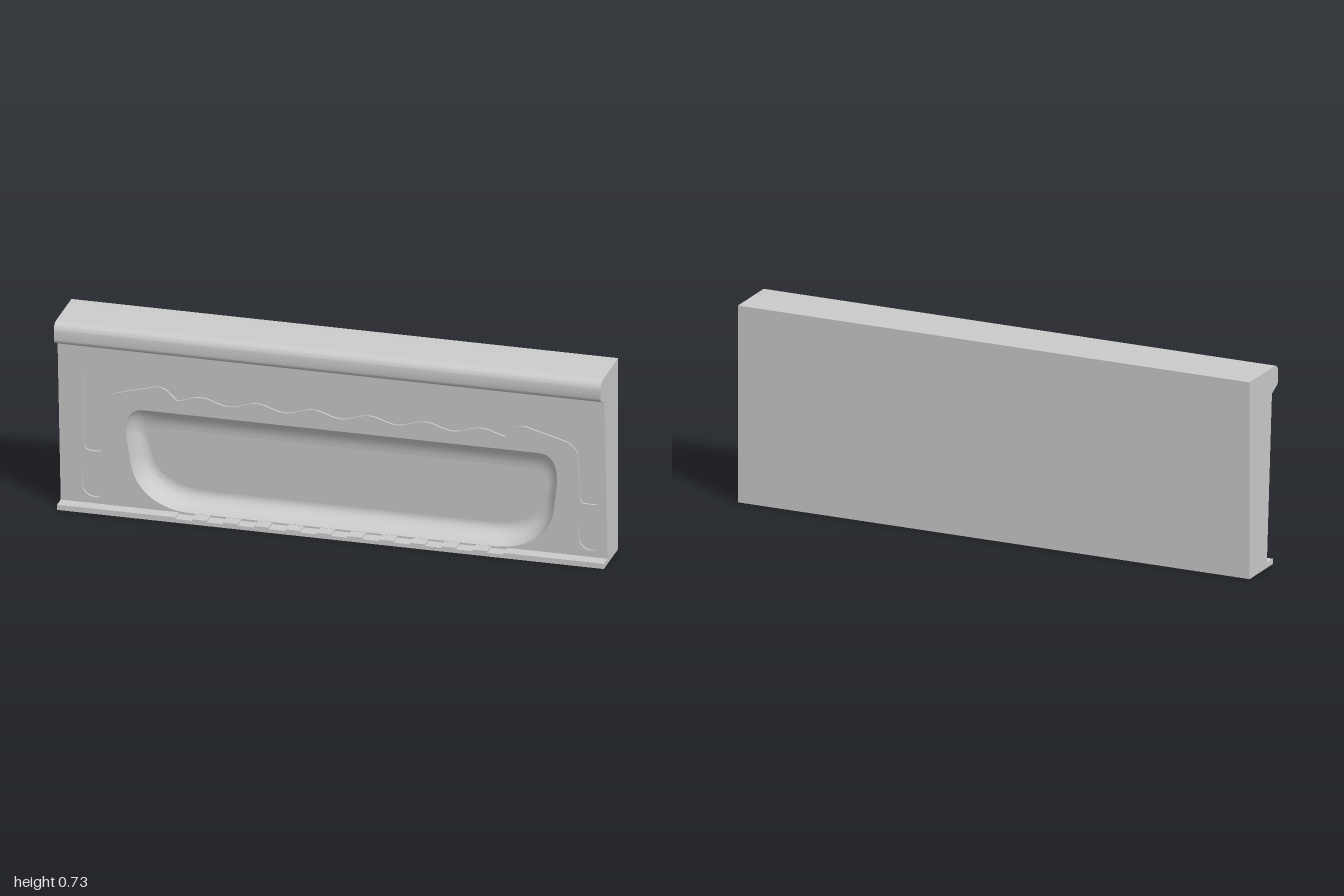
import * as THREE from 'three';
import { toCreasedNormals } from 'three/addons/utils/BufferGeometryUtils.js';

const V2 = (x, y) => new THREE.Vector2(x, y);
const V3 = (x, y, z) => new THREE.Vector3(x, y, z);
const CX = 0.033;                            // centre line of the front decoration
const slope = (y) => 0.0237 + 0.0668 * y;    // z of the leaning front face
const onFront = (depth) => (p) => V3(p.x, p.y, slope(p.y) - depth);

// Skin between successive rows of points
function loft(rows, closed, crease = 0.6) {
  const pos = [], n = rows[0].length;
  for (let r = 0; r < rows.length - 1; r++) {
    for (let i = 0; i < (closed ? n : n - 1); i++) {
      const j = (i + 1) % n;
      const [a, b, c, d] = [rows[r][i], rows[r][j], rows[r + 1][j], rows[r + 1][i]];
      for (const p of [a, b, c, a, c, d]) pos.push(p.x, p.y, p.z);
    }
  }
  const g = new THREE.BufferGeometry();
  g.setAttribute('position', new THREE.Float32BufferAttribute(pos, 3));
  return toCreasedNormals(g, crease);
}

// Flat face from an outline and holes, placed in space by a mapping
function face(outline, holes, map) {
  const shape = new THREE.Shape(outline);
  shape.holes = holes.map((h) => new THREE.Path(h));
  const g = new THREE.ShapeGeometry(shape);
  const p = g.attributes.position;
  for (let i = 0; i < p.count; i++) {
    const v = map(V2(p.getX(i), p.getY(i)));
    p.setXYZ(i, v.x, v.y, v.z);
  }
  g.computeVertexNormals();
  return g;
}

// Half outline (offset from centre line, y) mirrored to a full counter-clockwise loop
const mirrorLoop = (half) => [
  ...half.map(([u, y]) => V2(CX + u, y)),
  ...half.slice().reverse().filter(([u]) => u > 1e-6).map(([u, y]) => V2(CX - u, y)),
];

// Scoop opening: wide curved lower corners, tight upper corners
function scoopOutline() {
  const s = new THREE.Shape();
  s.moveTo(0, 0.021);
  s.lineTo(0.55, 0.021);
  s.bezierCurveTo(0.7, 0.021, 0.765, 0.11, 0.775, 0.2);
  s.lineTo(0.788, 0.3);
  s.bezierCurveTo(0.79, 0.37, 0.77, 0.407, 0.72, 0.407);
  s.lineTo(0, 0.407);
  return mirrorLoop(s.getPoints(14).map((p) => [p.x, p.y]));
}

// Decorative band: wavy middle with a leg hanging at each side
function bandOutline() {
  const wave = (u) => Math.cos((2 * Math.PI * u) / 0.205);
  const outer = new THREE.Path();
  outer.moveTo(0.69, 0.57);
  outer.lineTo(0.905, 0.57);
  outer.quadraticCurveTo(0.943, 0.57, 0.943, 0.53);
  outer.lineTo(0.943, 0.25);
  outer.quadraticCurveTo(0.943, 0.226, 0.92, 0.226);
  outer.lineTo(0.893, 0.226);
  outer.quadraticCurveTo(0.87, 0.226, 0.87, 0.25);
  outer.lineTo(0.865, 0.41);
  outer.quadraticCurveTo(0.86, 0.455, 0.81, 0.466);
  outer.lineTo(0.68, 0.503);
  outer.quadraticCurveTo(0.65, 0.51, 0.63, 0.488);
  const top = [], bottom = [];
  for (let i = 0; i <= 48; i++) {
    const u = (i / 48) * 0.6;
    top.push([u, 0.547 - 0.011 * wave(u)]);
    bottom.unshift([u, 0.468 - 0.012 * wave(u)]);
  }
  const right = [...top, ...outer.getPoints(6).map((p) => [p.x, p.y]), ...bottom];
  // Both ends lie on the centre line, so mirror into one loop
  const left = right.slice(1, -1).reverse().map(([u, y]) => [-u, y]);
  return [...right, ...left].map(([u, y]) => V2(CX + u, y));
}

// Upright pill under each leg of the band
function pillOutline(cx) {
  const pts = [], r = 0.045;
  for (let i = 0; i < 32; i++) {
    const a = ((i + 0.5) / 32) * Math.PI * 2;
    pts.push(V2(cx + r * Math.cos(a), 0.125 + Math.sign(Math.sin(a)) * 0.035 + r * Math.sin(a)));
  }
  return pts;
}

export function createModel() {
  const group = new THREE.Group();
  const material = new THREE.MeshStandardMaterial({ color: 0xcccccc, side: THREE.DoubleSide });
  const add = (name, geometry) => {
    const m = new THREE.Mesh(geometry, material);
    m.name = name;
    group.add(m);
  };

  // Side profile (z, y): rounded head, top, back and underside
  const profile = [[slope(0.634), 0.634], [0.107, 0.654], [0.113, 0.659], [0.116, 0.668]];
  for (let i = 0; i <= 8; i++) {
    const a = (i / 8) * Math.PI / 2;
    profile.push([0.09 + 0.026 * Math.cos(a), 0.7 + 0.03 * Math.sin(a)]);
  }
  profile.push([-0.116, 0.73], [-0.116, 0], [slope(0), 0]);
  const row = (x) => profile.map(([z, y]) => V3(x, y, z));
  add('bodyShell', loft([row(-1), row(1)], false));
  for (const side of [-1, 1]) {
    add(side > 0 ? 'leftEnd' : 'rightEnd',
      face(profile.map(([z, y]) => V2(z, y)), [], (p) => V3(side, p.y, p.x)));
  }

  // Leaning front panel with openings for the scoop and sunken decoration
  const scoop = scoopOutline();
  const sunken = [['band', bandOutline()], ['leftPill', pillOutline(CX + 0.908)],
    ['rightPill', pillOutline(CX - 0.908)]];
  const border = [V2(-1, 0), V2(1, 0), V2(1, 0.634), V2(-1, 0.634)];
  add('frontPanel', face(border, [scoop, ...sunken.map((s) => s[1])], onFront(0)));

  // Shallow sunken shapes: floor and side walls
  const sink = 0.007;
  for (const [name, pts] of sunken) {
    add(name + 'Floor', face(pts, [], onFront(sink)));
    add(name + 'Wall', loft([pts.map(onFront(0)), pts.map(onFront(sink))], true));
  }

  // Scoop: rounded wall sweeping into a flat floor, softer along the top
  const cy = 0.2, depth = 0.09, steps = 12;
  const ring = (a) => {
    const inset = 1 - Math.cos(a);
    return scoop.map((p) => V2(
      CX + (p.x - CX) * (1 - 0.07 * inset),
      cy + (p.y - cy) * (1 - (p.y > cy ? 0.5 : 0.3) * inset)));
  };
  const rings = [];
  for (let k = 0; k <= steps; k++) {
    const a = (k / steps) * Math.PI / 2;
    rings.push(ring(a).map(onFront(depth * Math.sin(a))));
  }
  add('scoopWall', loft(rings, true, 0.9));
  add('scoopFloor', face(ring(Math.PI / 2), [], onFront(depth)));

  // Bottom lip with a row of shallow drain slots
  const lip = new THREE.Shape([V2(-1, 0), V2(1, 0), V2(1, 0.02)]);
  for (let i = 5; i >= -5; i--) {
    const x = CX + i * 0.114, w = 0.03;
    lip.lineTo(x + w, 0.02);
    lip.lineTo(x + w, 0.014);
    lip.lineTo(x - w, 0.014);
    lip.lineTo(x - w, 0.02);
  }
  lip.lineTo(-1, 0.02);
  const lipGeometry = new THREE.ExtrudeGeometry(lip, { depth: 0.073 - slope(0), bevelEnabled: false });
  lipGeometry.translate(0, 0, slope(0));
  add('bottomLip', lipGeometry);

  return group;
}
